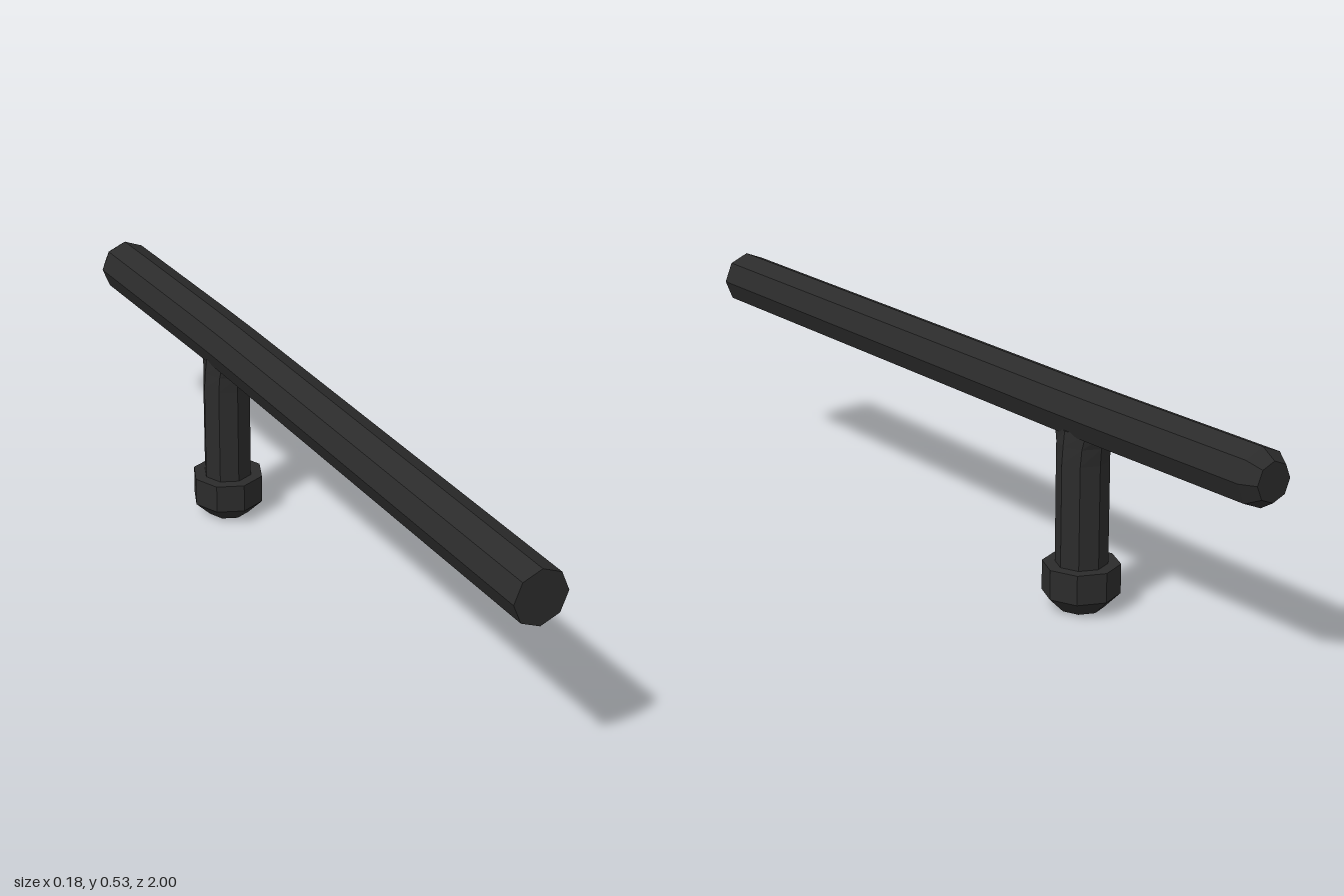
import * as THREE from 'three';

const SIDES = 8;

// Closed loft through octagonal rings; each ring holds a centre and two half-axis vectors (u x v points along the loft).
function loft(rings) {
  const pos = [];
  const point = (r, i) => {
    const a = (i / SIDES) * Math.PI * 2;
    return r.c.clone().addScaledVector(r.u, Math.cos(a)).addScaledVector(r.v, Math.sin(a));
  };
  const tri = (...pts) => pts.forEach((p) => pos.push(p.x, p.y, p.z));
  const first = rings[0], last = rings[rings.length - 1];
  for (let i = 0; i < SIDES; i++) {
    for (let k = 0; k < rings.length - 1; k++) {
      const a = point(rings[k], i), b = point(rings[k], i + 1);
      const c = point(rings[k + 1], i + 1), d = point(rings[k + 1], i);
      tri(a, b, c);
      tri(a, c, d);
    }
    tri(first.c, point(first, i + 1), point(first, i));
    tri(last.c, point(last, i), point(last, i + 1));
  }
  const geo = new THREE.BufferGeometry();
  geo.setAttribute('position', new THREE.Float32BufferAttribute(pos, 3));
  geo.computeVertexNormals();
  return geo;
}

const V = (x, y, z) => new THREE.Vector3(x, y, z);
// Ring facing +z (for the shaft) and ring facing +y (for the handle)
const ringZ = ([z, x, r]) => ({ c: V(x, 0.462, z), u: V(r, 0, 0), v: V(0, r, 0) });
const ringY = ([y, rx, rz]) => ({ c: V(0, y, 0), u: V(0, 0, rz), v: V(rx, 0, 0) });

export function createModel() {
  const model = new THREE.Group();
  const black = new THREE.MeshStandardMaterial({ color: 0x2b2b2b, flatShading: true });
  black.name = 'matte black';

  const add = (name, rings, parent) => {
    const mesh = new THREE.Mesh(loft(rings), black);
    mesh.name = name;
    parent.add(mesh);
  };

  // Long shaft: slightly bowed, chamfered at the back end
  add('shaft', [
    [-1, -0.01, 0.045],
    [-0.965, -0.01, 0.066],
    [-0.48, -0.002, 0.066],
    [-0.34, -0.001, 0.066],
    [1, -0.01, 0.066],
  ].map(ringZ), model);

  // Side handle with a flared joint into the shaft
  const handle = new THREE.Group();
  handle.name = 'sideHandle';
  handle.position.z = -0.408;
  model.add(handle);
  add('grip', [
    [0.09, 0.06, 0.06],
    [0.35, 0.06, 0.06],
    [0.39, 0.057, 0.063],
    [0.425, 0.053, 0.075],
  ].map(ringY), handle);

  // Knob at the handle end, tapered underneath
  add('knob', [
    [0, 0.051, 0.051],
    [0.037, 0.089, 0.089],
    [0.107, 0.089, 0.089],
  ].map(ringY), handle);

  return model;
}
